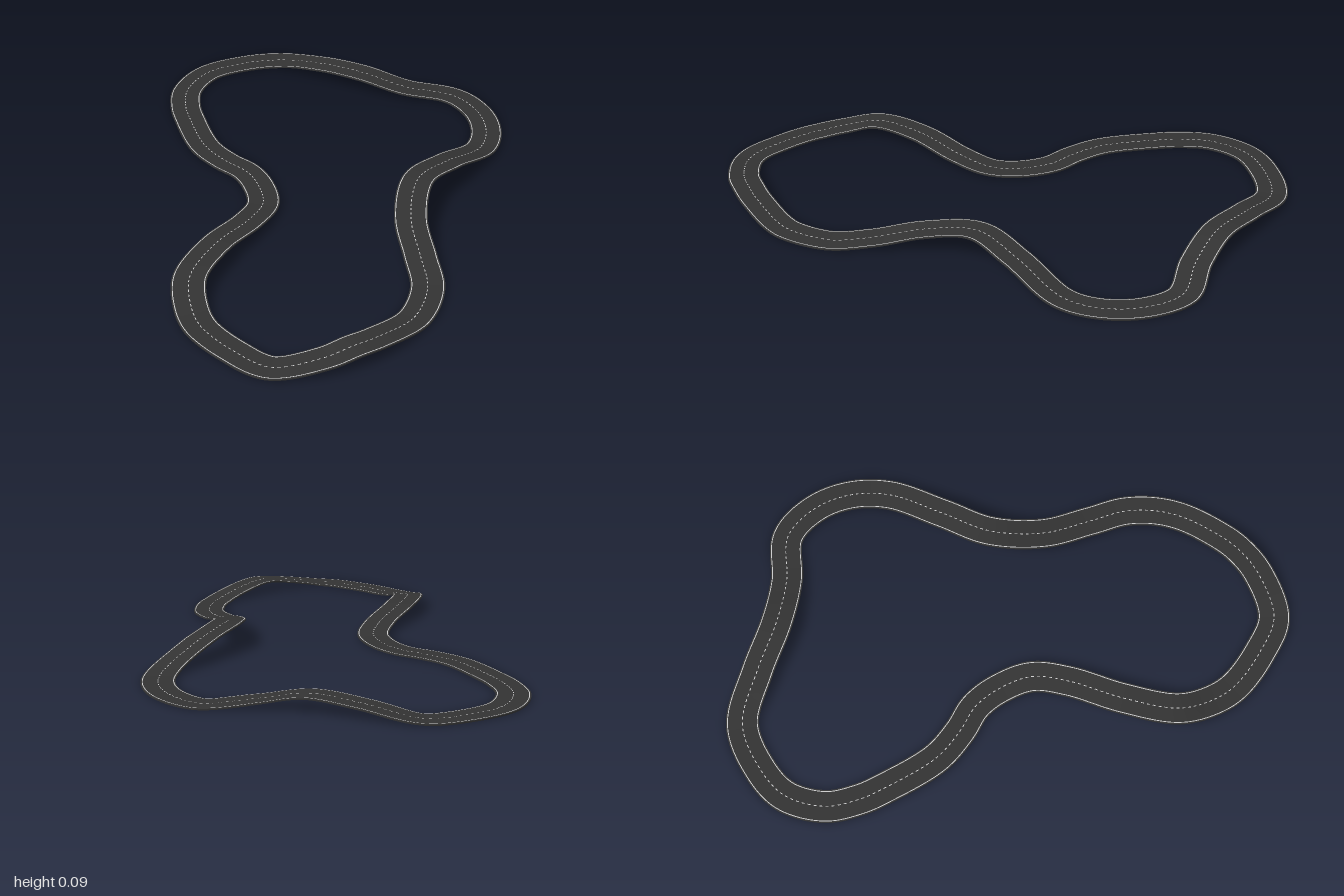
import * as THREE from 'three';
import { mergeGeometries } from 'three/addons/utils/BufferGeometryUtils.js';

const SEGMENTS = 500;
const HALF_WIDTH = 0.058;
const THICKNESS = 0.005;

// Centreline of the circuit: x, height, z
const PATH = [
  [-0.36, 0, -0.61], [-0.36, 0, -0.40], [-0.32, 0, -0.28], [-0.27, 0, -0.185],
  [-0.257, 0, -0.08], [-0.28, 0.006, 0.04], [-0.365, 0.02, 0.14], [-0.52, 0.04, 0.265],
  [-0.65, 0.037, 0.41], [-0.682, 0.012, 0.53], [-0.678, 0, 0.635], [-0.62, 0, 0.78],
  [-0.535, 0, 0.90], [-0.375, 0.022, 0.938], [-0.27, 0.034, 0.927], [-0.18, 0.025, 0.90],
  [-0.02, 0, 0.815], [0.08, 0, 0.68], [0.115, 0.014, 0.53], [0.15, 0.048, 0.355],
  [0.245, 0.083, 0.185], [0.40, 0.06, 0.08], [0.585, 0.007, -0.04], [0.66, 0, -0.16],
  [0.68, 0, -0.30], [0.635, 0, -0.435], [0.48, 0.018, -0.525], [0.35, 0.046, -0.635],
  [0.23, 0.033, -0.78], [0.095, 0.002, -0.917], [-0.075, 0, -0.942], [-0.205, 0, -0.915],
  [-0.31, 0, -0.815], [-0.35, 0, -0.70],
];

function makeFrames() {
  const curve = new THREE.CatmullRomCurve3(PATH.map((p) => new THREE.Vector3(...p)), true);
  curve.arcLengthDivisions = 1500;
  const points = curve.getSpacedPoints(SEGMENTS).slice(0, SEGMENTS);
  return points.map((p, i) => {
    p.y = Math.max(p.y, 0);
    const next = points[(i + 1) % SEGMENTS];
    const prev = points[(i + SEGMENTS - 1) % SEGMENTS];
    const t = next.clone().sub(prev).setY(0).normalize();
    return { p, side: new THREE.Vector3(t.z, 0, -t.x) };
  });
}

// Ribbon along the circuit between two section points [offset, height]
function strip(frames, a, b, keep = () => true) {
  const positions = [];
  const index = [];
  frames.forEach(({ p, side }, i) => {
    for (const [offset, height] of [a, b]) {
      positions.push(p.x + side.x * offset, p.y + height, p.z + side.z * offset);
    }
    if (!keep(i)) return;
    const j = (i + 1) % frames.length;
    index.push(2 * i, 2 * j, 2 * i + 1, 2 * i + 1, 2 * j, 2 * j + 1);
  });
  const geometry = new THREE.BufferGeometry();
  geometry.setAttribute('position', new THREE.Float32BufferAttribute(positions, 3));
  geometry.setIndex(index);
  geometry.computeVertexNormals();
  return geometry;
}

export function createModel() {
  const group = new THREE.Group();
  group.name = 'raceTrack';
  const frames = makeFrames();
  const asphalt = new THREE.MeshStandardMaterial({ color: 0x333333 });
  const paint = new THREE.MeshStandardMaterial({ color: 0xffffff });

  const add = (name, geometry, material) => {
    const mesh = new THREE.Mesh(geometry, material);
    mesh.name = name;
    group.add(mesh);
  };

  // Road slab: top, inner wall, underside, outer wall
  const w = HALF_WIDTH;
  const section = [[-w, THICKNESS], [w, THICKNESS], [w, 0], [-w, 0]];
  add('road', mergeGeometries(section.map((c, i) => strip(frames, c, section[(i + 1) % 4]))), asphalt);

  // Painted markings just above the road surface
  const line = (offset, width, keep) => strip(
    frames,
    [offset - width / 2, THICKNESS + 0.0008],
    [offset + width / 2, THICKNESS + 0.0008],
    keep,
  );
  add('outerEdgeLine', line(-0.052, 0.003), paint);
  add('innerEdgeLine', line(0.052, 0.003), paint);
  add('centreDashes', line(0, 0.003, (i) => i % 2 === 0), paint);

  return group;
}
